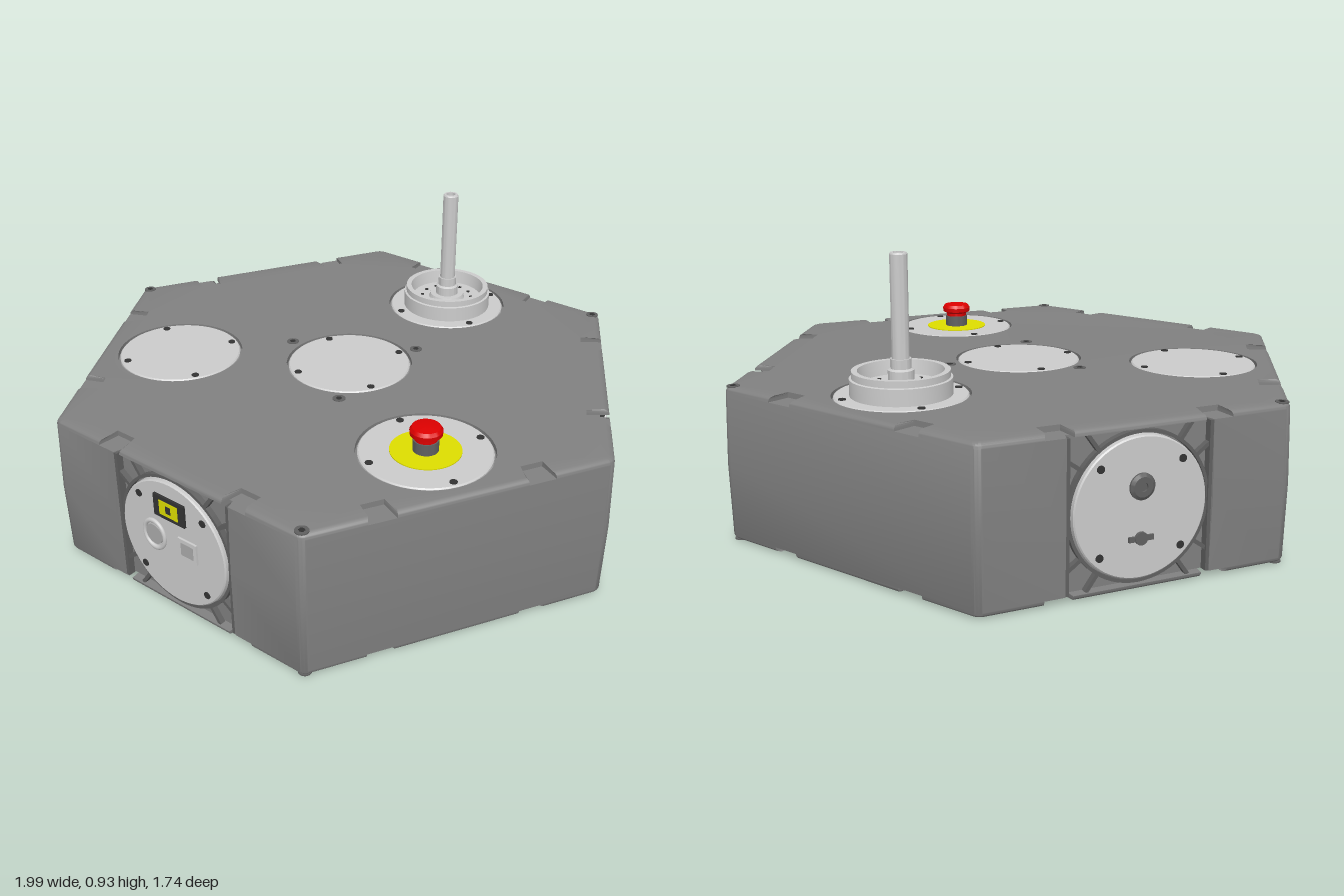
import * as THREE from 'three';
import { mergeGeometries, toCreasedNormals } from 'three/addons/utils/BufferGeometryUtils.js';

const A = 0.866, H = 0.5, SKIN = 0.018; // apothem, height, thickness of top and bottom skins
const paint = (color) => new THREE.MeshStandardMaterial({ color });
const M = {
  metal: paint(0xcccccc), body: paint(0x808080), frame: paint(0x606060), dark: paint(0x333333),
  mid: paint(0xaaaaaa), red: paint(0xdd0000), yellow: paint(0xdddd00), white: paint(0xeeeeee),
};

function add(parent, name, geo, mat, x = 0, y = 0, z = 0) {
  const m = new THREE.Mesh(geo, mat);
  m.name = name;
  m.position.set(x, y, z);
  parent.add(m);
  return m;
}
const lathe = (pts, seg = 48) =>
  toCreasedNormals(new THREE.LatheGeometry(pts.map(([r, y]) => new THREE.Vector2(r, y)), seg), 0.5);
const circle = (r, x = 0, y = 0) => new THREE.Path().absarc(x, y, r, 0, Math.PI * 2, true);

// Hexagon outline; every face k is cut by a list of [start, end, depth]
function hexOutline(cutsOf) {
  const shape = new THREE.Shape(), e = 0.48;
  for (let k = 0; k < 6; k++) {
    const f = (k * Math.PI) / 3 - Math.PI / 2, c = Math.cos(f), s = Math.sin(f);
    const at = (t, d = 0) => [c * (A - d) - s * t, s * (A - d) + c * t];
    if (k === 0) shape.moveTo(...at(-e)); else shape.lineTo(...at(-e));
    for (const [a, b, d] of cutsOf(k)) {
      shape.lineTo(...at(a));
      shape.lineTo(...at(a + 0.008, d));
      shape.lineTo(...at(b - 0.008, d));
      shape.lineTo(...at(b));
    }
    shape.lineTo(...at(e));
    const next = f + Math.PI / 3, c2 = Math.cos(next), s2 = Math.sin(next);
    shape.quadraticCurveTo(...at(0.5), c2 * A + s2 * e, s2 * A - c2 * e);
  }
  return shape;
}

// Slice of the body, drafted and rounded at its outer rim
function slice(y0, y1, shape, steps) {
  const g = new THREE.ExtrudeGeometry(shape, { depth: y1 - y0, steps, bevelEnabled: false, curveSegments: 24 });
  g.rotateX(-Math.PI / 2).translate(0, y0, 0);
  const p = g.attributes.position;
  for (let i = 0; i < p.count; i++) {
    const x = p.getX(i), y = p.getY(i), z = p.getZ(i);
    const norm = Math.max(Math.abs(z), Math.abs(x) * A + Math.abs(z) * 0.5);
    if (norm < 0.95 * A) continue;
    const d = Math.max(0, Math.min(y, H - y)), q = Math.max(0, SKIN - d);
    const inset = SKIN - Math.sqrt(SKIN * SKIN - q * q) + 0.024 * Math.abs(y - H / 2);
    const f = 1 - inset / A;
    p.setXYZ(i, x * f, y, z * f);
  }
  return g;
}

// Round service covers, on top and underneath
const COVERS = [[0, 0], [0, 0.6], [-0.51, -0.295], [0.515, -0.295]];

function buildBody() {
  const notches = () => [[-0.3, -0.21, 0.08], [0.21, 0.3, 0.08]];
  const skin = hexOutline(notches);
  COVERS.forEach(([x, z]) => skin.holes.push(circle(0.213, x, -z)));
  const bottom = hexOutline(notches);
  COVERS.forEach(([x, z]) => bottom.holes.push(circle(0.213, x, -z)));
  const core = hexOutline((k) => (k % 2 ? [[-0.235, 0.235, 0.03]] : []));
  return toCreasedNormals(mergeGeometries([
    slice(0, SKIN, bottom, 5), slice(SKIN, H - SKIN, core, 2), slice(H - SKIN, H, skin, 5),
  ]), 0.6);
}

// Disc with four screws, facing +y, top at y = 0
function cover(name, r, depth, turn) {
  const g = new THREE.Group();
  g.name = name;
  add(g, 'coverDisc', lathe([[0, -depth], [r, -depth], [r, -0.004], [r - 0.004, 0], [0, 0]], 64), M.metal);
  for (let i = 0; i < 4; i++) {
    const a = turn + (i * Math.PI) / 2;
    add(g, 'coverScrew', new THREE.CylinderGeometry(0.012, 0.012, 0.006, 16), M.dark,
      Math.cos(a) * 0.185, 0, Math.sin(a) * 0.185);
  }
  return g;
}

// Recessed side panel, facing +z, flush face at z = 0
function sidePanel(name, angle) {
  const g = new THREE.Group();
  g.name = name;
  g.rotation.y = angle;
  g.position.set(Math.sin(angle) * A, H / 2, Math.cos(angle) * A);
  const disc = cover('sideCover', 0.213, 0.03, Math.PI / 4);
  disc.rotation.x = Math.PI / 2;
  disc.position.z = -0.002;
  g.add(disc);
  const ring = new THREE.Shape().absarc(0, 0, 0.228, 0, Math.PI * 2);
  ring.holes.push(circle(0.218));
  add(g, 'coverRim', new THREE.ExtrudeGeometry(ring, { depth: 0.018, bevelEnabled: false, curveSegments: 32 }), M.frame, 0, 0, -0.03);
  for (const sx of [-1, 1]) {
    add(g, 'frameBar', new THREE.BoxGeometry(0.012, 0.46, 0.024), M.frame, sx * 0.228, 0, -0.018);
    for (const sy of [-1, 1]) {
      for (const a of [0.62, 0.95]) {
        const rib = add(g, 'cornerRib', new THREE.BoxGeometry(0.06, 0.012, 0.018), M.frame,
          sx * Math.cos(a) * 0.255, sy * Math.sin(a) * 0.255, -0.021);
        rib.rotation.z = sx * sy * a;
      }
    }
  }
  return g;
}

function buildAntenna() {
  const g = new THREE.Group();
  g.name = 'antenna';
  g.position.set(0.515, H, -0.295);
  add(g, 'antennaBase', lathe([[0.157, 0], [0.157, 0.052], [0.15, 0.054], [0.15, 0.075], [0.132, 0.075],
    [0.125, 0.03], [0.065, 0.03], [0.06, 0.045], [0.04, 0.045], [0.04, 0.075], [0.032, 0.08], [0.032, 0.11], [0, 0.11]], 64), M.metal);
  add(g, 'antennaMast', lathe([[0.027, 0.1], [0.027, 0.425], [0.024, 0.43], [0.016, 0.43], [0.016, 0.4], [0, 0.4]], 32), M.metal);
  for (let i = 0; i < 12; i++) {
    const a = (i * Math.PI) / 6;
    add(g, 'baseBolt', new THREE.CylinderGeometry(0.006, 0.006, 0.004, 10), M.dark, Math.cos(a) * 0.09, 0.031, Math.sin(a) * 0.09);
  }
  return g;
}

function buildStopButton() {
  const g = new THREE.Group();
  g.name = 'stopButton';
  g.position.set(0, H, 0.6);
  add(g, 'warningDisc', new THREE.CylinderGeometry(0.11, 0.11, 0.004, 48), M.yellow, 0, 0.001, 0);
  add(g, 'buttonNeck', lathe([[0.04, 0], [0.04, 0.04], [0, 0.04]], 32), M.frame);
  add(g, 'buttonCap', lathe([[0, 0.036], [0.036, 0.038], [0.036, 0.05], [0.05, 0.058], [0.051, 0.072],
    [0.044, 0.083], [0.025, 0.086], [0, 0.087]], 32), M.red);
  return g;
}

export function createModel() {
  const model = new THREE.Group();
  model.name = 'hexagonalUnit';
  add(model, 'body', buildBody(), M.body);

  for (const [x, z] of COVERS) {
    const top = cover('topCover', 0.206, 0.03, 0);
    top.position.set(x, H, z);
    const under = cover('bottomCover', 0.206, 0.03, 0);
    under.rotation.x = Math.PI;
    under.position.set(x, 0.001, z);
    model.add(top, under);
  }

  // Body bolts: three around the centre cover, three at alternate corners
  for (const y of [0, H]) for (const r of [0.25, 0.965]) for (let i = 0; i < 3; i++) {
    const a = (i * Math.PI * 2) / 3, x = Math.cos(a) * r, z = Math.sin(a) * r;
    add(model, 'bodyBolt', new THREE.CylinderGeometry(0.021, 0.021, 0.004, 24), M.frame, x, y, z);
    add(model, 'boltSocket', new THREE.CylinderGeometry(0.01, 0.01, 0.006, 6), M.dark, x, y, z);
  }
  model.add(buildAntenna(), buildStopButton());

  // Side panels: plain, connectors, lock
  model.add(sidePanel('plainPanel', Math.PI / 3));

  const ports = sidePanel('connectorPanel', -Math.PI / 3);
  add(ports, 'powerSocketFrame', new THREE.BoxGeometry(0.125, 0.076, 0.012), M.dark, 0, 0.125, 0);
  add(ports, 'powerSocket', new THREE.BoxGeometry(0.075, 0.05, 0.014), M.yellow, 0, 0.125, 0.001);
  add(ports, 'powerPin', new THREE.BoxGeometry(0.02, 0.025, 0.016), M.dark, 0, 0.125, 0.001);
  const roundPort = add(ports, 'roundPort', new THREE.TorusGeometry(0.042, 0.007, 10, 32), M.white, -0.075, 0.005, 0);
  roundPort.scale.y = 1.15;
  add(ports, 'roundPortCore', new THREE.CylinderGeometry(0.034, 0.034, 0.006, 24).rotateX(Math.PI / 2), M.mid, -0.075, 0.005, 0);
  add(ports, 'squarePort', new THREE.BoxGeometry(0.075, 0.07, 0.01), M.white, 0.065, 0.005, 0);
  add(ports, 'squarePortHole', new THREE.BoxGeometry(0.05, 0.045, 0.012), M.mid, 0.065, 0.005, 0);
  model.add(ports);

  const lock = sidePanel('lockPanel', Math.PI);
  const knob = add(lock, 'knob', lathe([[0.04, 0], [0.04, 0.006], [0.03, 0.012], [0.014, 0.012], [0.014, 0.005], [0, 0.005]], 32), M.frame, 0, 0.065, -0.002);
  knob.rotation.x = Math.PI / 2;
  add(lock, 'latchBar', new THREE.BoxGeometry(0.08, 0.016, 0.01), M.frame, 0, -0.09, 0);
  add(lock, 'latchHub', new THREE.CylinderGeometry(0.02, 0.02, 0.014, 24).rotateX(Math.PI / 2), M.frame, 0, -0.09, 0);
  model.add(lock);
  return model;
}
